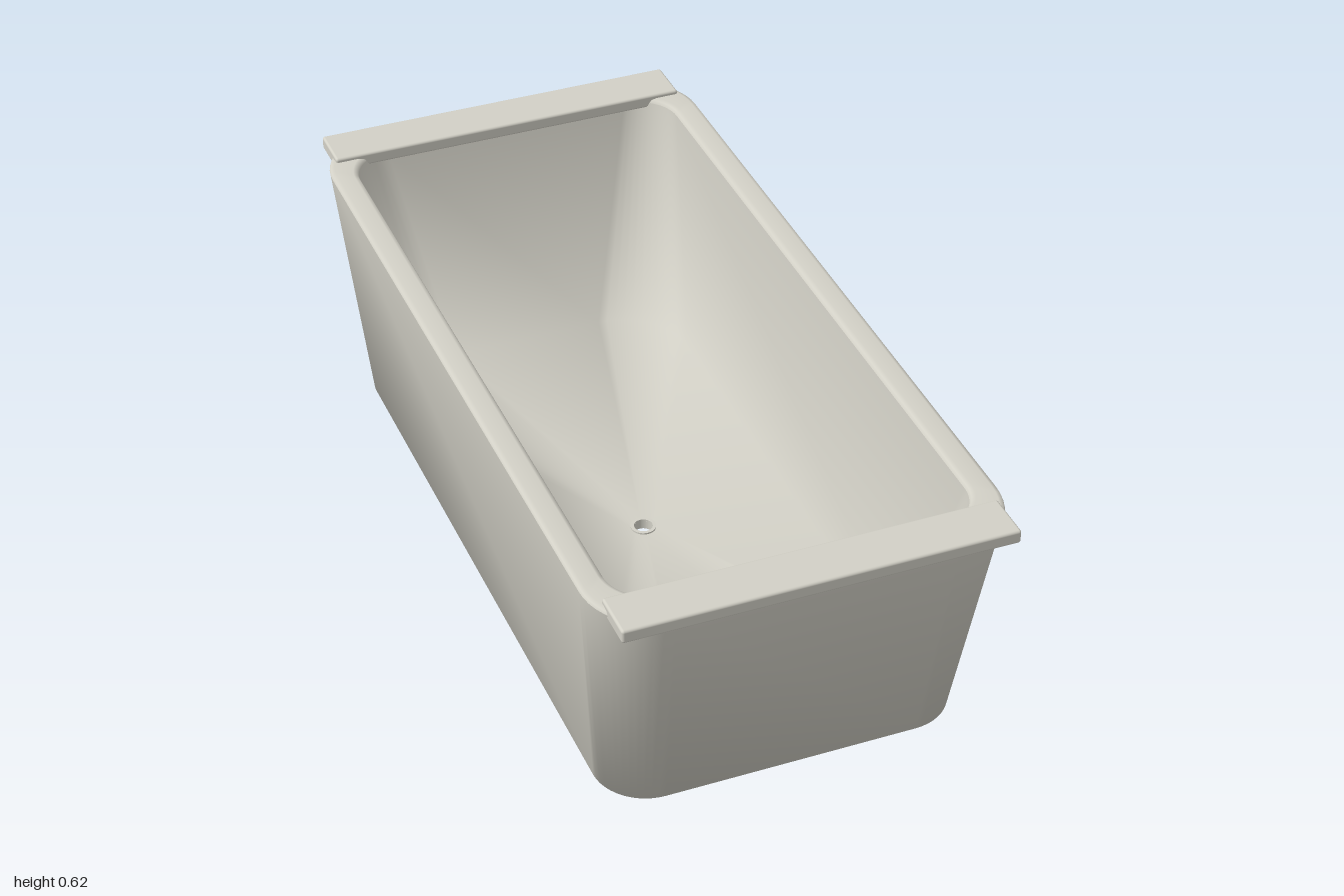
import * as THREE from 'three';
import { RoundedBoxGeometry } from 'three/addons/geometries/RoundedBoxGeometry.js';

const STEPS = 12;

// Points of a horizontal rounded rectangle: half width, half length, corner radius, height
function ring([hx, hz, r, y]) {
  const pts = [];
  for (let q = 0; q < 4; q++) {
    const sx = q === 0 || q === 3 ? 1 : -1;
    const sz = q < 2 ? 1 : -1;
    for (let i = 0; i <= STEPS; i++) {
      const a = (q + i / STEPS) * Math.PI / 2;
      pts.push(sx * (hx - r) + r * Math.cos(a), y, sz * (hz - r) + r * Math.sin(a));
    }
  }
  return pts;
}

// Smooth skin through a list of rounded rectangles
function loft(sections) {
  const n = 4 * (STEPS + 1);
  const index = [];
  for (let s = 0; s < sections.length - 1; s++) {
    for (let i = 0; i < n; i++) {
      const j = (i + 1) % n;
      const a = s * n + i, a1 = s * n + j;
      index.push(a, a1, a + n, a1, a1 + n, a + n);
    }
  }
  const g = new THREE.BufferGeometry();
  g.setAttribute('position', new THREE.Float32BufferAttribute(sections.flatMap(ring), 3));
  g.setIndex(index);
  g.computeVertexNormals();
  return g;
}

export function createModel() {
  const group = new THREE.Group();
  const enamel = new THREE.MeshStandardMaterial({ color: 0xd2d0c6 });
  enamel.name = 'warm grey enamel';

  const add = (name, geometry) => {
    const mesh = new THREE.Mesh(geometry, enamel);
    mesh.name = name;
    group.add(mesh);
    return mesh;
  };

  // Tapered outside wall running into the underside
  add('outerShell', loft([
    [0.467, 0.995, 0.165, 0.598],
    [0.412, 0.87, 0.12, 0.018],
    [0.028, 0.028, 0.028, 0.018],
  ]));

  // Basin floor rising from the drain, then the inside wall
  add('innerBasin', loft([
    [0.022, 0.022, 0.022, 0.022],
    [0.36, 0.79, 0.17, 0.045],
    [0.405, 0.905, 0.1, 0.597],
  ]));

  // Softly rounded rim joining inside and outside
  add('rim', loft([
    [0.405, 0.905, 0.1, 0.597],
    [0.409, 0.909, 0.104, 0.604],
    [0.418, 0.918, 0.113, 0.607],
    [0.455, 0.983, 0.153, 0.607],
    [0.464, 0.992, 0.162, 0.604],
    [0.467, 0.995, 0.165, 0.598],
  ]));

  // Ledge across each end
  for (const side of [1, -1]) {
    const ledge = add(side > 0 ? 'frontLedge' : 'backLedge',
      new RoundedBoxGeometry(0.88, 0.032, 0.115, 3, 0.006));
    ledge.position.set(0, 0.601, side * 0.9425);
  }

  // Short open drain pipe
  const outline = new THREE.Shape().absarc(0, 0, 0.03, 0, Math.PI * 2);
  outline.holes.push(new THREE.Path().absarc(0, 0, 0.022, 0, Math.PI * 2, true));
  const drain = new THREE.ExtrudeGeometry(outline, { depth: 0.026, bevelEnabled: false, curveSegments: 32 });
  drain.rotateX(-Math.PI / 2);
  add('drainPipe', drain);

  return group;
}
